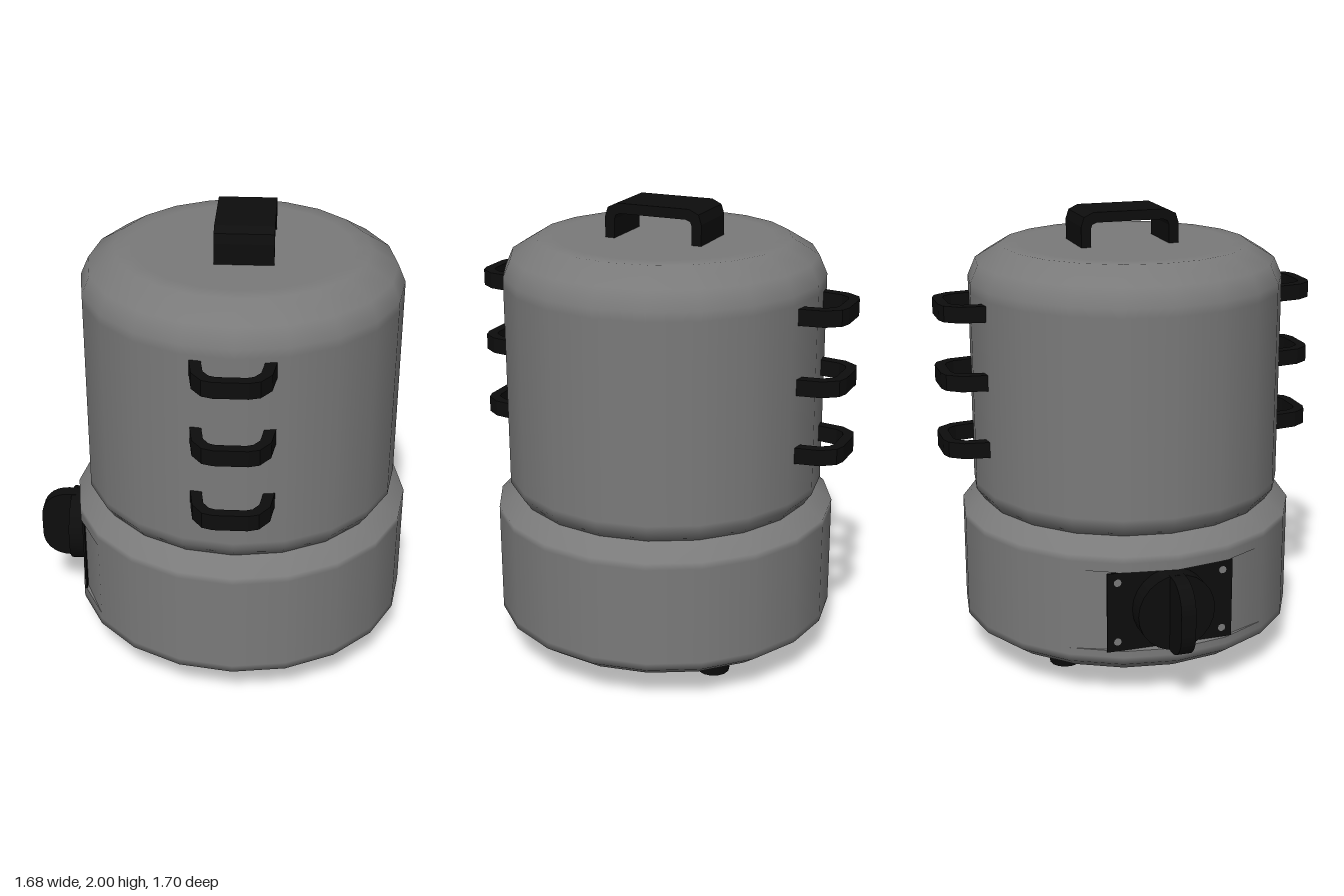
import * as THREE from 'three';

const CX = 0.09; // axis of the drum
const SIDES = 20;

export function createModel() {
  const model = new THREE.Group();
  const metal = new THREE.MeshStandardMaterial({ color: 0x7a7a7a });
  metal.name = 'grey metal';
  const black = new THREE.MeshStandardMaterial({ color: 0x0d0d0d });
  black.name = 'black plastic';

  function add(name, geometry, material, x = 0, y = 0, z = 0) {
    const mesh = new THREE.Mesh(geometry, material);
    mesh.name = name;
    mesh.position.set(x, y, z);
    model.add(mesh);
    return mesh;
  }
  const lathe = (pts) =>
    new THREE.LatheGeometry(pts.map(([r, y]) => new THREE.Vector2(r, y)), SIDES);

  // Upper drum with a bevelled lid edge
  add('drum', lathe([[0, 0.72], [0.66, 0.72], [0.695, 0.77], [0.695, 0.8], [0.695, 1.66],
    [0.695, 1.7], [0.66, 1.78], [0.545, 1.85], [0.47, 1.85], [0, 1.85]]), metal, CX);

  // Base: bottom, middle band with a flat recess, and top rim
  add('baseBottom', lathe([[0, 0.12], [0.6, 0.12], [0.68, 0.12], [0.75, 0.17], [0.75, 0.2], [0.75, 0.23]]), metal, CX);
  add('baseRim', lathe([[0.75, 0.59], [0.75, 0.63], [0.75, 0.66], [0.66, 0.72]]), metal, CX);
  const band = lathe([[0.75, 0.23], [0.75, 0.59]]);
  const pos = band.attributes.position;
  for (let i = 0; i < pos.count; i++) pos.setX(i, Math.max(pos.getX(i), -0.695));
  add('baseBand', band, metal, CX);

  // Ledges closing the recess below and above
  const ledge = new THREE.CircleGeometry(0.75, SIDES);
  add('recessFloor', ledge, metal, CX, 0.23).rotation.x = -Math.PI / 2;
  add('recessCeiling', ledge, metal, CX, 0.59).rotation.x = Math.PI / 2;

  // U-shaped strap: half outlines, mirrored and extruded, centred on its depth
  function strap(outer, inner, depth) {
    const mirror = ([x, y]) => [-x, y];
    const pts = [...outer, ...[...outer].reverse().map(mirror),
      ...inner.map(mirror), ...[...inner].reverse()];
    const shape = new THREE.Shape(pts.map(([x, y]) => new THREE.Vector2(x, y)));
    return new THREE.ExtrudeGeometry(shape, { depth, bevelEnabled: false })
      .translate(0, 0, -depth / 2);
  }

  // Three handles at the front and three at the back
  const grip = strap(
    [[0.175, 0.66], [0.158, 0.775], [0.115, 0.835], [0.07, 0.85]],
    [[0.128, 0.66], [0.113, 0.76], [0.088, 0.795], [0.06, 0.805]], 0.07).rotateX(Math.PI / 2);
  for (const y of [1.0, 1.3, 1.6]) {
    add('frontHandle', grip, black, 0.085, y + 0.005, 0);
    add('backHandle', grip, black, 0.085, y + 0.005, 0).rotation.y = Math.PI;
  }

  // Wide handle on the lid
  const lidGrip = strap(
    [[0.22, 1.84], [0.22, 1.94], [0.207, 1.98], [0.165, 2.0]],
    [[0.177, 1.84], [0.177, 1.93], [0.17, 1.948], [0.15, 1.956]], 0.25).rotateY(Math.PI / 2);
  add('lidHandle', lidGrip, black, 0.105, 0, -0.008);

  // Feet
  const foot = new THREE.CylinderGeometry(0.095, 0.07, 0.125, 14);
  for (const x of [-0.175, 0.39])
    for (const z of [-0.367, 0.367]) add('foot', foot, black, x, 0.0625, z);

  // Control plate with a screw at each corner
  const KY = 0.41, KZ = -0.02;
  add('controlPlate', new THREE.BoxGeometry(0.009, 0.358, 0.56), black, -0.61, KY, KZ);
  const screw = new THREE.CircleGeometry(0.017, 10).rotateY(-Math.PI / 2);
  for (const sy of [-1, 1])
    for (const sz of [-1, 1])
      add('screw', screw, metal, -0.6165, KY + sy * 0.135, KZ + sz * 0.235);

  // Knob disc and its raised finger grip
  const disc = new THREE.CylinderGeometry(0.17, 0.17, 0.09, 24).rotateZ(Math.PI / 2);
  add('knobDisc', disc, black, -0.655, KY + 0.005, KZ);
  const fin = new THREE.Shape();
  fin.moveTo(-0.68, -0.168);
  fin.lineTo(-0.72, -0.168);
  fin.bezierCurveTo(-0.8, -0.168, -0.845, -0.11, -0.845, -0.05);
  fin.lineTo(-0.845, 0.05);
  fin.bezierCurveTo(-0.845, 0.11, -0.8, 0.168, -0.72, 0.168);
  fin.lineTo(-0.68, 0.168);
  const finGeo = new THREE.ExtrudeGeometry(fin, { depth: 0.064, bevelEnabled: false, curveSegments: 8 });
  add('knobGrip', finGeo, black, 0, KY + 0.005, KZ - 0.032);

  return model;
}
